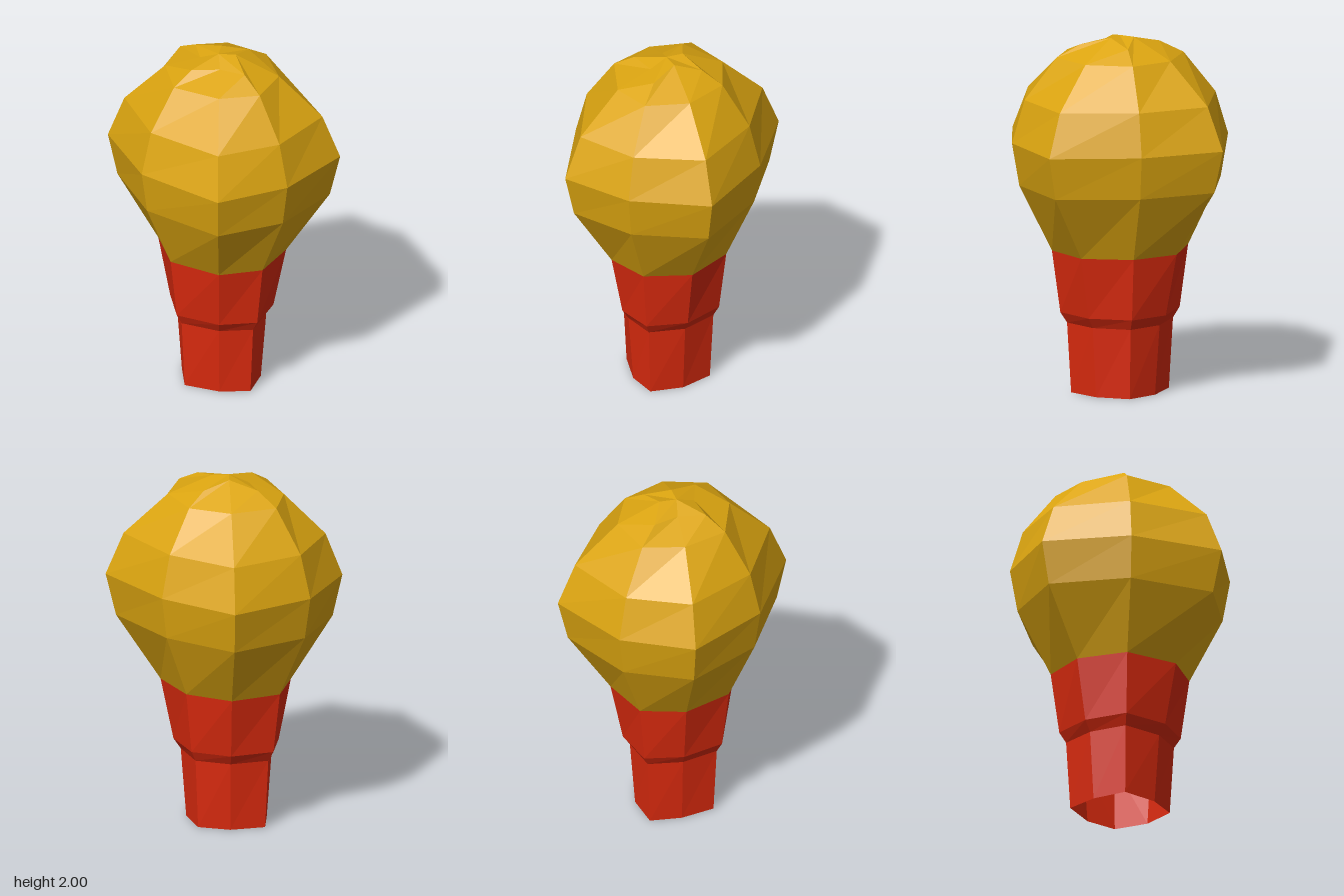
import * as THREE from 'three';

// Eight-sided cross-section: half-widths on the axes, slightly uneven diagonal corners
const SECTION = [
  [0.61, 0], [0.515, 0.41], [0, 0.543], [-0.48, 0.41],
  [-0.61, 0], [-0.475, -0.47], [0, -0.543], [0.5, -0.45],
];

// One ring of corners: a = scale of the axis corners, d = scale of the diagonal corners
const ring = ([y, a, d]) => SECTION.map(([x, z], i) => {
  const s = i % 2 ? d : a;
  return [x * s, y, z * s];
});

// Joins rings bottom to top, with an optional point closing the top
function loft(name, color, rings, apex) {
  const pos = [];
  const tri = (...corners) => corners.forEach((c) => pos.push(...c));
  const n = SECTION.length;
  for (let r = 0; r < rings.length - 1; r++) {
    const lo = rings[r], hi = rings[r + 1];
    for (let i = 0; i < n; i++) {
      const j = (i + 1) % n;
      tri(lo[i], hi[i], lo[j]);
      tri(lo[j], hi[i], hi[j]);
    }
  }
  if (apex) {
    const top = rings[rings.length - 1];
    for (let i = 0; i < n; i++) tri(top[i], apex, top[(i + 1) % n]);
  }
  const geo = new THREE.BufferGeometry();
  geo.setAttribute('position', new THREE.Float32BufferAttribute(pos, 3));
  geo.computeVertexNormals();
  const mesh = new THREE.Mesh(geo, new THREE.MeshStandardMaterial({
    color, flatShading: true, side: THREE.DoubleSide,
  }));
  mesh.name = name;
  return mesh;
}

export function createModel() {
  const group = new THREE.Group();
  group.name = 'bulb';

  // Stepped base, open underneath
  const baseRings = [
    [0, 0.452, 0.34], [0.395, 0.49, 0.385], [0.455, 0.552, 0.445], [0.805, 0.63, 0.55],
  ].map(ring);
  group.add(loft('base', 0xda2a0e, baseRings));

  // Faceted globe
  const globeRings = [
    [0.805, 0.63, 0.55], [1.18, 0.932, 0.915], [1.42, 1, 1],
    [1.66, 0.883, 0.853], [1.89, 0.588, 0.49], [1.96, 0.365, 0.3],
  ].map(ring);

  // Crumpled crown: front corners pulled in, back corners raised
  const crown = globeRings[globeRings.length - 1];
  crown[1] = [0.09, 1.96, 0.07];
  crown[3] = [-0.09, 1.96, 0.07];
  crown[5] = [-0.065, 2, -0.06];
  crown[7] = [0.065, 2, -0.06];
  group.add(loft('globe', 0xdca510, globeRings, [0, 2, 0.01]));

  return group;
}
